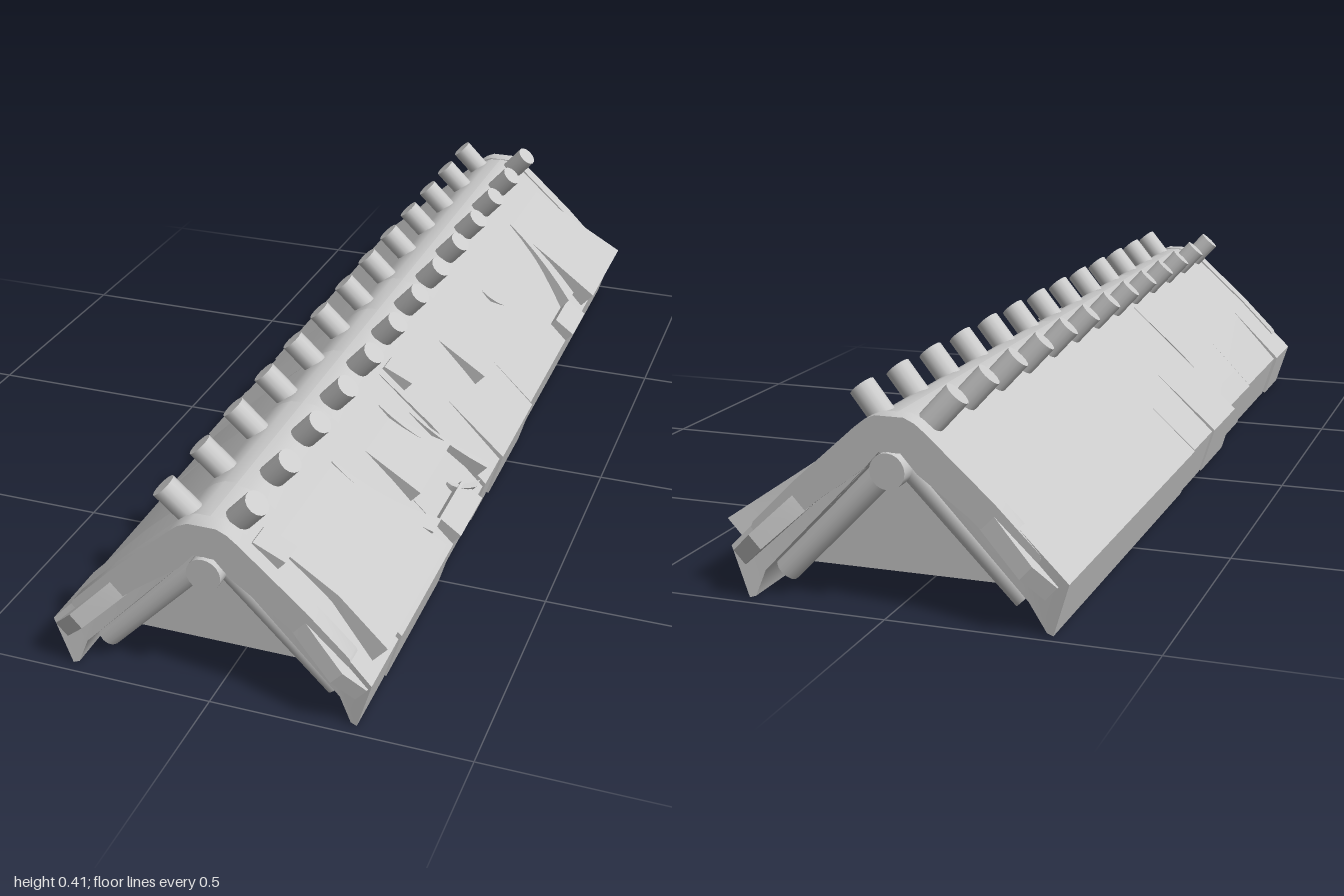
import * as THREE from 'three';
import { toCreasedNormals } from 'three/addons/utils/BufferGeometryUtils.js';

const material = new THREE.MeshStandardMaterial({ color: 0xcccccc });

export function createModel() {
  const root = new THREE.Group();
  root.name = 'thatchedRoof';
  const roof = new THREE.Group();
  roof.name = 'roof';
  roof.position.x = -0.007;
  root.add(roof);

  function add(name, geometry, parent = roof) {
    const mesh = new THREE.Mesh(geometry, material);
    mesh.name = name;
    parent.add(mesh);
    return mesh;
  }

  const polygon = pts => new THREE.Shape(pts.map(p => new THREE.Vector2(p[0], p[1])));

  // Extrude a polygon by one unit, then move every vertex by a rule
  function warped(pts, rule, crease = 0.5) {
    const g = new THREE.ExtrudeGeometry(polygon(pts), { depth: 1, steps: 1, bevelEnabled: false });
    const p = g.attributes.position;
    for (let i = 0; i < p.count; i++) p.setXYZ(i, ...rule(p.getX(i), p.getY(i), p.getZ(i)));
    g.computeVertexNormals();
    return toCreasedNormals(g, crease);
  }

  // Thatch slopes: sections that meet at the ridge and split open at the eaves
  function slope(side, cuts, tips) {
    const group = new THREE.Group();
    group.name = side > 0 ? 'leftSlope' : 'rightSlope';
    roof.add(group);
    const last = cuts.length - 1;
    for (let i = 0; i < last; i++) {
      const tip = tips[i];
      const profile = [
        [0, 0.367], [0.025, 0.365], [0.045, 0.356], [0.065, 0.34], [0.19, 0.228], [tip, 0.105],
        [tip - 0.03, 0.008], [tip - 0.042, 0.012], [0.25, 0.062], [0.13, 0.185],
        [0.05, 0.27], [0.025, 0.298], [0, 0.305],
      ].map(([x, y]) => [x * side, y]);
      const edge = (k, x, dir) => {
        const outer = k === 0 || k === last;
        const w = THREE.MathUtils.clamp((x - (Math.abs(cuts[k] - 0.27) < 0.01 ? 0.07 : 0.19)) / 0.14, 0, 1);
        return cuts[k] + dir * w * (outer ? -0.018 : 0.006);
      };
      add('thatchSection', warped(profile, (x, y, d) => {
        const ax = Math.abs(x);
        return [x, y, THREE.MathUtils.lerp(edge(i, ax, 1), edge(i + 1, ax, -1), d)];
      }), group);
    }
  }
  slope(1, [-0.965, -0.11, 0.15, 0.27, 0.5, 0.83, 0.965], [0.312, 0.318, 0.313, 0.31, 0.316, 0.313]);
  slope(-1, [-0.965, -0.12, 0.05, 0.265, 0.5, 0.82, 0.965], [0.326, 0.323, 0.326, 0.31, 0.306, 0.312]);

  // Raised thatch edge over each gable
  const half = [[0.027, 0.368], [0.047, 0.359], [0.067, 0.343], [0.19, 0.232], [0.27, 0.152],
    [0.274, 0.142], [0.255, 0.118], [0.245, 0.116], [0.14, 0.205], [0.05, 0.27], [0.02, 0.304]];
  const hood = [...half, ...half.map(([x, y]) => [-x, y]).reverse()];
  for (const z of [0.94, -0.976]) {
    add('gableThatchEdge', warped(hood, (x, y, d) => [x, y, z + d * 0.036]));
  }

  // Patches lie on the slope: points are [z, distance down the slope],
  // thickness grows from the upper edge to the lower edge
  function patch(name, pts, thickTop, thickBottom, base = -0.01) {
    const s = pts.map(p => p[1]);
    const s0 = Math.min(...s), s1 = Math.max(...s);
    return add(name, warped(pts, (z, t, d) => {
      const n = d > 0.5 ? THREE.MathUtils.lerp(thickTop, thickBottom, (t - s0) / (s1 - s0)) : base;
      return [0.06 + t * 0.736 + n * 0.677, 0.34 - t * 0.677 + n * 0.736, z];
    }, 0.4));
  }

  // Large patches
  patch('frontPatch', [[0.9, 0.04], [0.9, 0.2], [0.93, 0.322], [0.58, 0.322], [0.59, 0.2], [0.6, 0.04]], 0.002, 0.042);
  patch('backPatch', [[-0.66, 0.05], [-0.655, 0.2], [-0.645, 0.335], [-0.95, 0.335], [-0.925, 0.2], [-0.91, 0.05]], 0.002, 0.042);
  patch('middlePatch', [[0, 0.08], [0.02, 0.208], [-0.34, 0.208], [-0.29, 0.15], [-0.25, 0.08]], 0.004, 0.036);
  patch('innerPatch', [[0.5, 0.08], [0.51, 0.225], [0.335, 0.225], [0.36, 0.08]], 0.002, 0.034);

  // Small patches
  patch('smallPatch', [[0.5, 0.29], [0.5, 0.345], [0.35, 0.345], [0.35, 0.29]], 0.018, 0.024);
  patch('smallPatch', [[-0.45, 0.29], [-0.45, 0.345], [-0.575, 0.345], [-0.575, 0.29]], 0.018, 0.024);
  patch('smallPatch', [[0.245, 0.02], [0.245, 0.085], [0.195, 0.085], [0.195, 0.02]], 0.01, 0.03);
  patch('smallPatch', [[0.945, 0.02], [0.945, 0.085], [0.89, 0.085], [0.89, 0.02]], 0.01, 0.03);

  // Curved loose tufts: [z at top, z at bottom, top, bottom, width]
  const tufts = [
    [0.6, 0.515, 0.05, 0.29, 0.05], [-0.665, -0.6, 0.06, 0.29, 0.05], [-0.31, -0.39, 0.1, 0.205, 0.05],
    [0.35, 0.3, 0.06, 0.225, 0.035], [0.29, 0.245, 0.12, 0.32, 0.02], [0.37, 0.315, 0.27, 0.32, 0.03],
  ];
  for (const [z0, z1, s0, s1, width] of tufts) {
    const near = [], far = [];
    for (let i = 0; i <= 5; i++) {
      const t = i / 5;
      const z = THREE.MathUtils.lerp(z0, z1, t * t);
      const s = THREE.MathUtils.lerp(s0, s1, t);
      near.push([z, s]);
      far.unshift([z + width * (0.15 + 0.85 * t), s]);
    }
    patch('looseTuft', [...near, ...far], 0.006, 0.03);
  }

  // Flared strips at the four lower corners; a half turn serves the other side
  const flare = [[0.93, 0.06], [0.965, 0.14], [0.985, 0.22], [1, 0.29], [0.985, 0.345], [0.93, 0.345]];
  for (const turn of [0, Math.PI]) {
    for (const dir of [1, -1]) {
      const strip = patch('cornerFlare', flare.map(([z, s]) => [z * dir, s]), -0.006, -0.012, -0.045);
      strip.rotation.y = turn;
    }
  }

  // Ridge pole
  const pole = new THREE.CylinderGeometry(0.033, 0.033, 1.97, 20);
  pole.rotateX(Math.PI / 2);
  add('ridgePole', pole).position.set(0.002, 0.272, 0);

  // Gable walls and the slanted poles in front of them
  for (const end of [1, -1]) {
    const gable = [[-0.255, 0.055], [0.255, 0.055], [0.02, 0.295], [-0.02, 0.295]];
    add('gableWall', warped(gable, (x, y, d) => [x, y, end * 0.87 + (d - 0.5) * 0.03]));
    for (const side of [1, -1]) {
      const from = new THREE.Vector3(side * 0.01, 0.278, end * 0.925);
      const to = new THREE.Vector3(side * 0.23, 0.052, end * 0.925);
      const geometry = new THREE.CylinderGeometry(0.026, 0.025, from.distanceTo(to), 14);
      const rafter = add('gablePole', geometry);
      rafter.position.copy(from).add(to).multiplyScalar(0.5);
      rafter.quaternion.setFromUnitVectors(new THREE.Vector3(0, 1, 0), from.sub(to).normalize());
    }
  }

  // Thirteen pairs of crossed ridge pegs
  const pegGeometry = new THREE.CylinderGeometry(0.025, 0.025, 0.13, 14);
  for (let i = 0; i < 13; i++) {
    for (const side of [1, -1]) {
      const peg = add('ridgePeg', pegGeometry);
      const axis = new THREE.Vector3(side * 0.66, 0.74, 0.13).normalize();
      const top = new THREE.Vector3(-0.008 + side * 0.09, 0.399, -0.905 + i * 0.152);
      peg.position.copy(top).addScaledVector(axis, -0.065);
      peg.quaternion.setFromUnitVectors(new THREE.Vector3(0, 1, 0), axis);
    }
  }

  return root;
}
